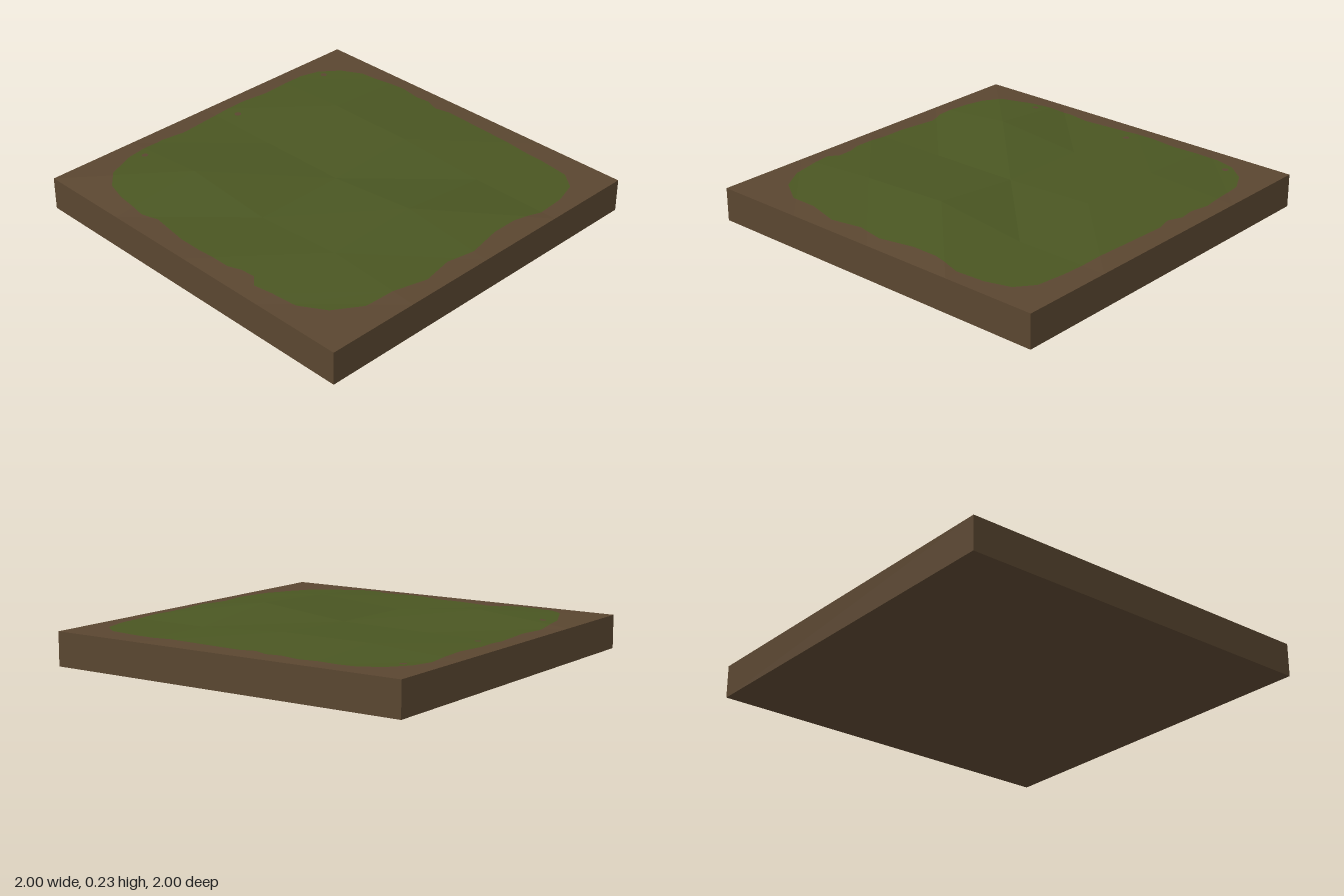
import * as THREE from 'three';

const EDGE = 0.175; // height of the slab's walls
const STEP = 0.5; // size of one terrain cell

// Terrain heights, rows from back (z = -1) to front, columns from x = -1 to 1
const HEIGHTS = [
  [EDGE, EDGE, EDGE, EDGE, EDGE],
  [EDGE, 0.22, EDGE, 0.2, EDGE],
  [EDGE, EDGE, 0.18, 0.2, EDGE],
  [EDGE, 0.21, 0.23, EDGE, EDGE],
  [EDGE, EDGE, EDGE, EDGE, EDGE],
];

// Ragged rim of the grass as x, z pairs, clockwise from the back left
const GRASS_RIM = [
  -0.61, -0.88, -0.48, -0.9, -0.37, -0.91, -0.24, -0.89, 0, -0.91, 0.2, -0.915, 0.35, -0.895,
  0.62, -0.91, 0.73, -0.88, 0.83, -0.8, 0.89, -0.69, 0.9, -0.58, 0.92, -0.4, 0.9, -0.29,
  0.91, -0.21, 0.88, -0.13, 0.9, -0.05, 0.89, 0.19, 0.88, 0.4, 0.87, 0.62, 0.85, 0.78,
  0.78, 0.87, 0.65, 0.91, 0.49, 0.92, 0.33, 0.885, 0.19, 0.885, 0, 0.92, -0.15, 0.89,
  -0.32, 0.92, -0.5, 0.875, -0.66, 0.86, -0.8, 0.77, -0.88, 0.64, -0.9, 0.5, -0.915, 0.4,
  -0.87, 0.35, -0.875, 0.27, -0.9, 0.2, -0.9, -0.13, -0.87, -0.34, -0.9, -0.43,
  -0.88, -0.61, -0.85, -0.72, -0.77, -0.81,
];

const cross = (a, b, p) => (b.x - a.x) * (p.y - a.y) - (b.y - a.y) * (p.x - a.x);

// Keep the part of a polygon that lies inside a triangle
function clip(polygon, tri) {
  let out = polygon;
  for (let e = 0; e < 3; e++) {
    const a = tri[e], b = tri[(e + 1) % 3], input = out;
    out = [];
    input.forEach((p, i) => {
      const q = input[(i + 1) % input.length];
      const dp = cross(a, b, p), dq = cross(a, b, q);
      if (dp >= 0) out.push(p);
      if ((dp > 0 && dq < 0) || (dp < 0 && dq > 0)) out.push(p.clone().lerp(q, dp / (dp - dq)));
    });
  }
  return out;
}

// Lay a flat x, z outline over the terrain, raised by lift
function drape(outline, lift) {
  const positions = [];
  const corner = (c, r) => new THREE.Vector2(c * STEP - 1, r * STEP - 1);
  for (let r = 0; r < 4; r++) for (let c = 0; c < 4; c++) {
    const halves = [
      [[c, r], [c + 1, r], [c + 1, r + 1]],
      [[c, r], [c + 1, r + 1], [c, r + 1]],
    ];
    for (const ids of halves) {
      const tri = ids.map(([i, j]) => corner(i, j));
      const h = ids.map(([i, j]) => HEIGHTS[j][i]);
      const piece = clip(outline, tri);
      if (piece.length < 3) continue;
      const area = cross(...tri);
      const height = (p) => (h[0] * cross(tri[1], tri[2], p) + h[1] * cross(tri[2], tri[0], p)
        + h[2] * cross(tri[0], tri[1], p)) / area;
      for (const face of THREE.ShapeUtils.triangulateShape(piece, [])) {
        let [p, q, s] = face.map((i) => piece[i]);
        if (cross(p, q, s) > 0) [q, s] = [s, q]; // face upward
        for (const v of [p, q, s]) positions.push(v.x, height(v) + lift, v.y);
      }
    }
  }
  const geometry = new THREE.BufferGeometry();
  geometry.setAttribute('position', new THREE.Float32BufferAttribute(positions, 3));
  geometry.computeVertexNormals();
  return geometry;
}

function circle(x, z, radius) {
  return Array.from({ length: 8 }, (_, i) => {
    const a = (i / 8) * Math.PI * 2;
    return new THREE.Vector2(x + radius * Math.cos(a), z + radius * Math.sin(a));
  });
}

export function createModel() {
  const group = new THREE.Group();
  const soil = new THREE.MeshStandardMaterial({ color: 0x5a4630 });
  soil.name = 'soil';
  const grass = new THREE.MeshStandardMaterial({ color: 0x4a5622 });
  grass.name = 'grass';

  const add = (name, geometry, material) => {
    const mesh = new THREE.Mesh(geometry, material);
    mesh.name = name;
    group.add(mesh);
  };

  // Walls and underside: a box without its top face
  const slab = new THREE.BoxGeometry(2, EDGE, 2).translate(0, EDGE / 2, 0);
  slab.setIndex(Array.from(slab.index.array).filter((_, i) => i < 12 || i >= 18));
  slab.clearGroups();
  add('soilSlab', slab, soil);

  // Gently uneven top
  const square = [[-1, -1], [1, -1], [1, 1], [-1, 1]].map(([x, z]) => new THREE.Vector2(x, z));
  add('soilTop', drape(square, 0), soil);

  // Grass patch following the bumps
  const rim = [];
  for (let i = 0; i < GRASS_RIM.length; i += 2) rim.push(new THREE.Vector2(GRASS_RIM[i], GRASS_RIM[i + 1]));
  add('grassPatch', drape(rim, 0.002), grass);

  // Small bare spots near the back rim
  for (const x of [-0.55, 0.085, 0.725]) add('bareSpot', drape(circle(x, -0.83, 0.018), 0.004), soil);

  return group;
}
